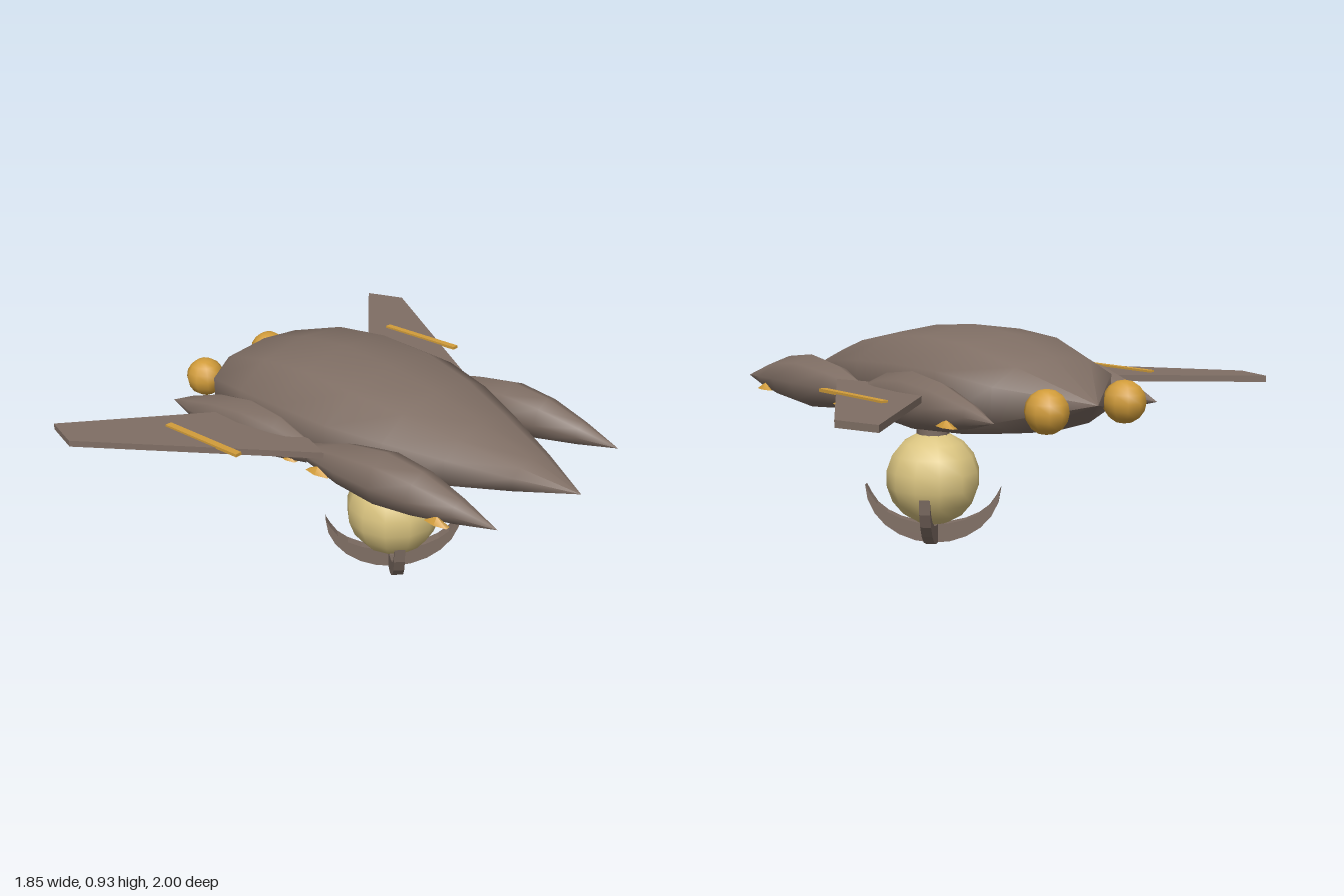
import * as THREE from 'three';

const mat = (name, color, side = THREE.FrontSide) => {
  const m = new THREE.MeshStandardMaterial({ color, side });
  m.name = name;
  return m;
};

// Skin rings along x; each station is [x, halfWidth, topY, bottomY]
function loft(stations, sides, cz = 0, topPow = 1, lowPow = 1) {
  const pos = [], index = [];
  stations.forEach(([x, w, top, bottom], i) => {
    const mid = (top + bottom) / 2, h = (top - bottom) / 2;
    for (let j = 0; j < sides; j++) {
      const a = (j / sides) * Math.PI * 2, c = Math.cos(a);
      const y = Math.sign(c) * Math.pow(Math.abs(c), c > 0 ? topPow : lowPow);
      pos.push(x, mid + h * y, cz + w * Math.sin(a));
      if (i < stations.length - 1) {
        const p = i * sides + j, q = i * sides + ((j + 1) % sides);
        index.push(p, q, p + sides, q, q + sides, p + sides);
      }
    }
  });
  const g = new THREE.BufferGeometry();
  g.setAttribute('position', new THREE.Float32BufferAttribute(pos, 3));
  g.setIndex(index);
  g.computeVertexNormals();
  return g;
}

export function createModel() {
  const group = new THREE.Group();
  const brown = mat('hull brown', 0x7f6e64);
  const gold = mat('lamp gold', 0xd19c3a);
  const cream = mat('globe cream', 0xdac480);
  const add = (name, geometry, material, x = 0, y = 0, z = 0) => {
    const m = new THREE.Mesh(geometry, material);
    m.name = name;
    m.position.set(x, y, z);
    group.add(m);
    return m;
  };

  // Main teardrop hull
  add('hull', loft([
    [-0.91, 0, 0.69, 0.69], [-0.68, 0.315, 0.84, 0.565], [-0.45, 0.39, 0.91, 0.53],
    [-0.22, 0.415, 0.93, 0.515], [0.02, 0.412, 0.91, 0.527], [0.25, 0.345, 0.866, 0.55],
    [0.47, 0.245, 0.8, 0.583], [0.7, 0.128, 0.727, 0.617], [0.92, 0, 0.655, 0.655],
  ], 10, 0, 0.8, 0.5), brown);

  // Pinched side pods, wings and lamps, mirrored front to back
  const rear = [
    [-0.82, 0, 0.655, 0.655], [-0.7, 0.04, 0.708, 0.622], [-0.53, 0.074, 0.765, 0.59],
    [-0.36, 0.085, 0.79, 0.577], [-0.2, 0.068, 0.768, 0.59], [-0.04, 0.033, 0.705, 0.62],
  ];
  const fore = [
    [-0.04, 0.033, 0.705, 0.62], [0.14, 0.085, 0.762, 0.592], [0.33, 0.105, 0.79, 0.575],
    [0.5, 0.088, 0.768, 0.59], [0.67, 0.05, 0.715, 0.62], [0.835, 0, 0.655, 0.655],
  ];
  for (const s of [1, -1]) {
    add('rearPod', loft(rear, 8, 0.405 * s), brown);
    add('forePod', loft(fore, 8, 0.4 * s), brown);

    const outline = [[-0.905, 0.945], [-0.74, 1], [0.07, 0.45], [-0.05, 0.4], [-0.44, 0.4]];
    const wing = new THREE.ExtrudeGeometry(
      new THREE.Shape(outline.map(([x, z]) => new THREE.Vector2(x, z * s))),
      { depth: 0.025, bevelEnabled: false });
    wing.rotateX(Math.PI / 2);
    add('wing', wing, brown, 0, 0.72, 0);
    add('wingStrip', new THREE.BoxGeometry(0.39, 0.012, 0.028), gold, -0.355, 0.722, 0.667 * s);

    // Small lamps on the lower outer edge of the pods
    for (const [x, z, r] of [[-0.615, 0.45, 0.058], [-0.13, 0.435, 0.045], [0.035, 0.445, 0.065], [0.61, 0.452, 0.058]]) {
      const lamp = add('podLamp', new THREE.ConeGeometry(r, 0.03, 6), gold, x, 0.635, z * s);
      lamp.scale.z = 0.35;
    }

    add('tailOrb', new THREE.SphereGeometry(0.081, 10, 8), gold, -0.852, 0.68, 0.193 * s);
  }

  // Hanging globe on a short neck
  add('neck', new THREE.CylinderGeometry(0.068, 0.068, 0.09, 10), brown, 0.037, 0.5, 0);
  add('globe', new THREE.SphereGeometry(0.197, 12, 9), cream, 0.037, 0.275, 0);

  // Two crossed crescents cradling the globe on the diagonals
  const crescent = new THREE.Shape();
  const arc = (rx, ry, t) => [rx * Math.cos(t), -ry * Math.sin(t)];
  const n = 12;
  for (let i = 0; i <= n; i++) {
    const p = arc(0.283, 0.24, (i / n) * Math.PI);
    i ? crescent.lineTo(...p) : crescent.moveTo(...p);
  }
  for (let i = n - 1; i > 0; i--) crescent.lineTo(...arc(0.27, 0.16, (i / n) * Math.PI));
  crescent.closePath();
  const claw = new THREE.ExtrudeGeometry(crescent, { depth: 0.044, bevelEnabled: false });
  claw.translate(0, 0, -0.022);
  for (const s of [1, -1]) add('cradle', claw, brown, 0.037, 0.24, 0).rotation.y = s * Math.PI / 4;

  return group;
}
